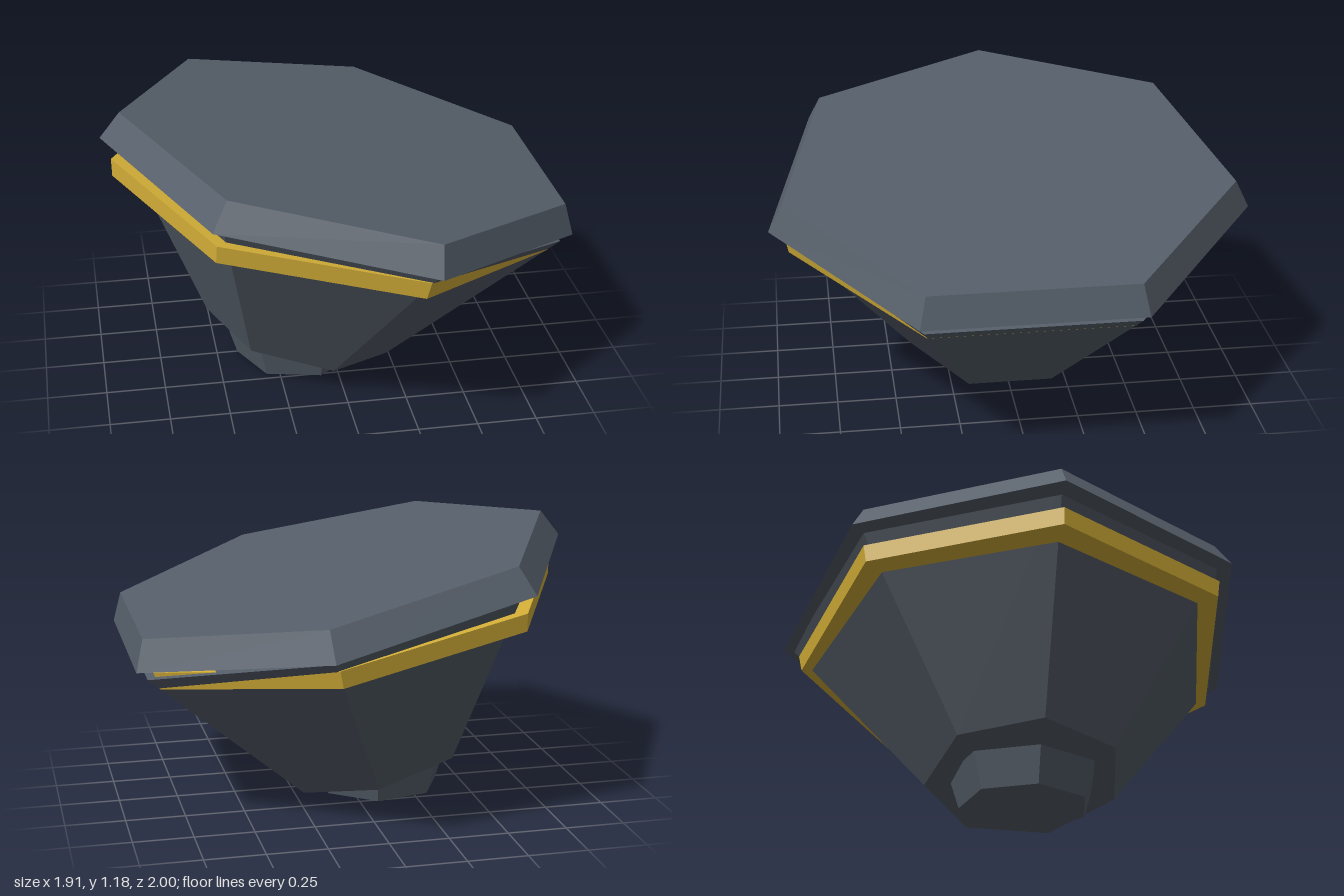
import * as THREE from 'three';

const slate = new THREE.MeshStandardMaterial({ color: 0x555e69, flatShading: true });
slate.name = 'slate';
const gold = new THREE.MeshStandardMaterial({ color: 0xd4af37, flatShading: true });
gold.name = 'gold';

// Seven-sided frustum with one corner towards -x, standing on (x, y) and leaning to +x
function frustum(name, material, { bottom, top, height, x, y, tilt = 0 }) {
  const geometry = new THREE.CylinderGeometry(top, bottom, height, 7, 1, false, -Math.PI / 2);
  geometry.translate(0, height / 2, 0);
  const mesh = new THREE.Mesh(geometry, material);
  mesh.name = name;
  mesh.position.set(x, y, 0);
  mesh.rotation.z = -tilt;
  return mesh;
}

export function createModel() {
  const model = new THREE.Group();
  model.name = 'tiltedPedestal';
  model.add(
    // small upright foot
    frustum('foot', slate, { bottom: 0.272, top: 0.318, height: 0.15, x: -0.138, y: 0 }),
    // flaring body
    frustum('body', slate, { bottom: 0.417, top: 0.98, height: 0.765, x: -0.135, y: 0.127, tilt: 0.25 }),
    // band around the body
    frustum('band', gold, { bottom: 0.945, top: 0.959, height: 0.075, x: 0.02, y: 0.744, tilt: 0.165 }),
    // bevelled top slab
    frustum('topSlab', slate, { bottom: 1.025, top: 0.963, height: 0.122, x: 0.05, y: 0.87, tilt: 0.2 }),
  );
  return model;
}
